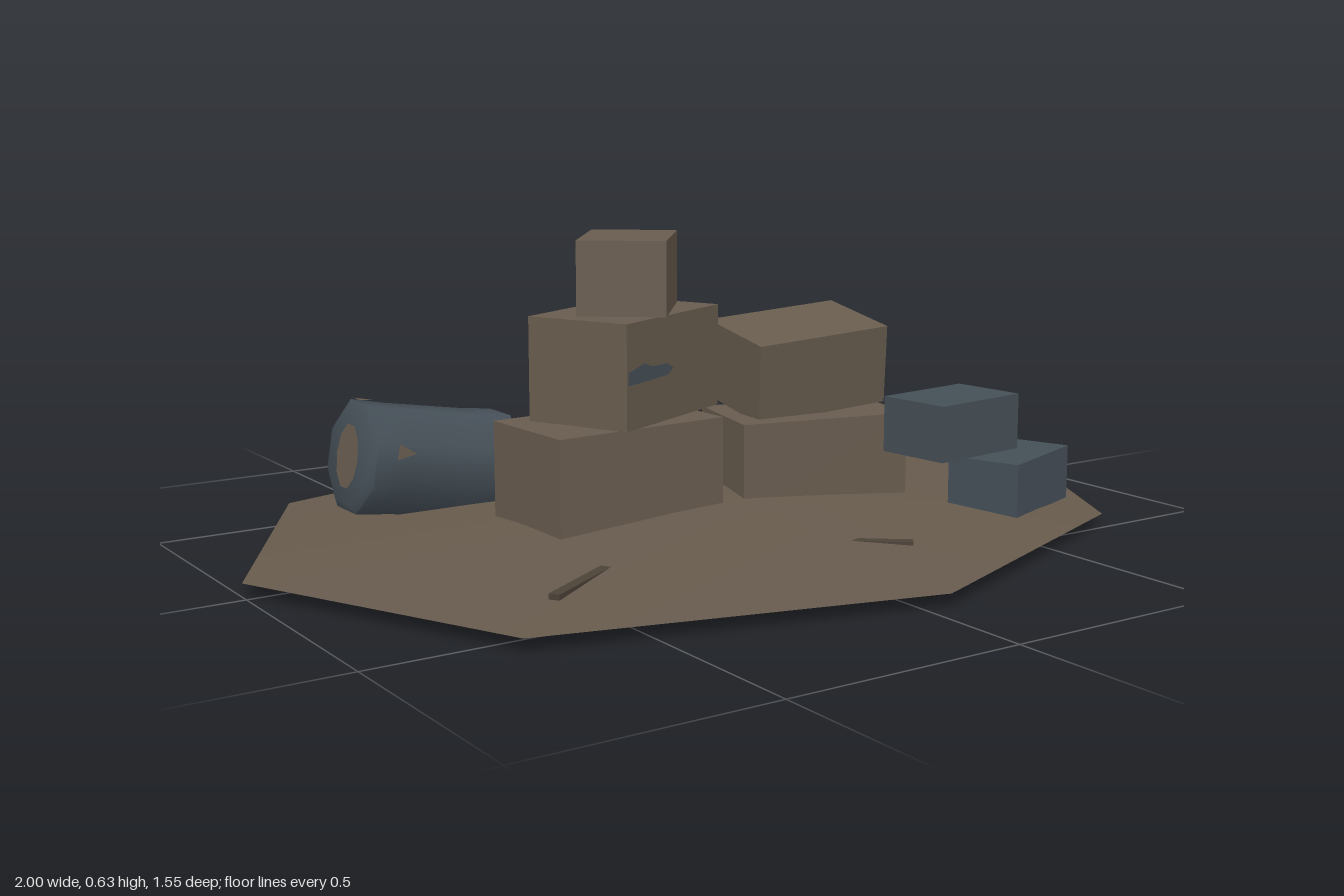
import * as THREE from 'three';
import { toCreasedNormals } from 'three/addons/utils/BufferGeometryUtils.js';

const paint = (name, color, side = THREE.FrontSide) => {
  const m = new THREE.MeshStandardMaterial({ color, side });
  m.name = name;
  return m;
};

export function createModel() {
  const model = new THREE.Group();
  model.name = 'crateHeap';
  const brown = paint('dusty brown', 0x685c4e);
  const earth = paint('packed earth', 0x665a4c, THREE.DoubleSide);
  const slate = paint('slate blue', 0x454f57);
  const wood = paint('dark wood', 0x4c4238);

  const add = (parent, name, geometry, material) => {
    const mesh = new THREE.Mesh(geometry, material);
    mesh.name = name;
    parent.add(mesh);
    return mesh;
  };

  // Ground: shallow eight-sided mound
  const rim = [[0.05, -0.78], [0.78, -0.58], [1, -0.02], [0.73, 0.49],
    [0.05, 0.77], [-0.73, 0.57], [-1, -0.02], [-0.68, -0.58]];
  const apex = [0.05, 0.085, -0.02];
  const pos = [...apex];
  const index = [];
  [[0.3, 0.069], [1, 0.033]].forEach(([t, y]) => rim.forEach(([x, z]) =>
    pos.push(apex[0] + (x - apex[0]) * t, y, apex[2] + (z - apex[2]) * t)));
  for (let i = 0; i < 8; i++) {
    const j = (i + 1) % 8, a = 1 + i, b = 1 + j, c = 9 + i, d = 9 + j;
    index.push(0, b, a, a, b, d, a, d, c);
  }
  const mound = new THREE.BufferGeometry();
  mound.setAttribute('position', new THREE.Float32BufferAttribute(pos, 3));
  mound.setIndex(index);
  mound.computeVertexNormals();
  add(model, 'ground', mound, earth);

  // Crates: size, centre, rotation
  const crate = (name, size, at, rot, material) => {
    const mesh = add(model, name, new THREE.BoxGeometry(...size), material);
    mesh.position.set(...at);
    mesh.rotation.set(...rot);
    return mesh;
  };
  crate('lowerLeftCrate', [0.405, 0.235, 0.25], [-0.2, 0.1425, -0.015], [0, 0.05, 0], brown);
  const middle = crate('middleCrate', [0.36, 0.215, 0.235], [-0.16, 0.3775, -0.0125], [0, 0.445, 0], brown);
  crate('topCrate', [0.249, 0.153, 0.182], [-0.15, 0.5625, -0.0175], [0, 0.9, 0], brown);
  const lowerRight = crate('lowerRightCrate', [0.385, 0.205, 0.24], [0.28, 0.133, 0.02], [0, -0.22, 0], brown);
  crate('tiltedCrate', [0.325, 0.175, 0.222], [0.292, 0.338, -0.023], [0.15, -0.07, 0.08], brown);
  crate('upperSlateBox', [0.242, 0.12, 0.168], [0.49, 0.224, 0.27], [0, 0.12, 0], slate);
  crate('lowerSlateBox', [0.252, 0.117, 0.163], [0.615, 0.097, 0.32], [0, 0.366, 0], slate);

  // Worn patches laid flat on a face
  const patch = (parent, name, points, at, turn, material) => {
    const shape = new THREE.Shape(points.map(p => new THREE.Vector2(...p)));
    const mesh = add(parent, name, new THREE.ShapeGeometry(shape), material);
    mesh.position.set(...at);
    mesh.rotation.set(...turn);
  };
  const streak = [[-0.09, -0.018], [0, -0.017], [0.06, -0.016], [0.082, -0.004],
    [0.06, 0.008], [0, 0.01], [-0.03, 0.02], [-0.09, 0.008]];
  for (const s of [1, -1]) {
    patch(middle, 'streakPatch', streak, [-0.088 * s, 0.002, 0.1195 * s],
      [0, s > 0 ? 0 : Math.PI, 0], slate);
  }
  patch(middle, 'sidePatch', [[-0.016, -0.022], [0.014, -0.022], [0.008, 0.012], [0, 0.022], [-0.008, 0.008]],
    [0.182, 0.08, 0], [0, Math.PI / 2, 0], slate);
  patch(lowerRight, 'sidePatch', [[-0.03, -0.04], [0.03, -0.04], [0.03, 0.015], [-0.01, 0.03], [-0.03, 0.025]],
    [0.1945, -0.035, -0.075], [0, Math.PI / 2, 0], slate);

  // Barrel: eight-sided, lying tilted with chamfered ends
  const barrel = new THREE.Group();
  barrel.name = 'barrel';
  barrel.position.set(-0.465, 0.147, -0.34);
  barrel.rotation.z = -0.165;
  model.add(barrel);
  const profile = [[0, -0.178], [0.106, -0.178], [0.1245, -0.167], [0.121, -0.09], [0.121, 0.09],
    [0.1245, 0.167], [0.106, 0.178], [0, 0.178]].map(p => new THREE.Vector2(...p));
  const body = new THREE.LatheGeometry(profile, 8, Math.PI / 8).rotateZ(-Math.PI / 2);
  add(barrel, 'barrelBody', toCreasedNormals(body, 0.9), slate);
  const rust = add(barrel, 'endPatch', new THREE.CircleGeometry(0.07, 10), brown);
  rust.scale.x = 0.75;
  rust.rotation.y = -Math.PI / 2;
  rust.position.x = -0.181;
  const chip = [[-0.022, -0.016], [0.02, 0], [-0.022, 0.018]];
  patch(barrel, 'topChip', chip, [-0.14, 0.118, -0.03], [-Math.PI / 2, 0, 0], brown);
  patch(barrel, 'sideChip', chip, [-0.1, 0.03, 0.118], [0, 0, 0], brown);

  // Sticks half buried in the ground
  const sticks = [[0.54, -0.14, 0.46, -0.47], [0.2, -0.4, -0.13, -0.49],
    [0.19, 0.5, -0.07, 0.29], [-0.3, 0.25, -0.59, 0.43]];
  for (const [x1, z1, x2, z2] of sticks) {
    const stick = add(model, 'stick', new THREE.BoxGeometry(Math.hypot(x2 - x1, z2 - z1), 0.022, 0.022), wood);
    stick.position.set((x1 + x2) / 2, 0.043, (z1 + z2) / 2);
    stick.rotation.y = -Math.atan2(z2 - z1, x2 - x1);
  }
  return model;
}
